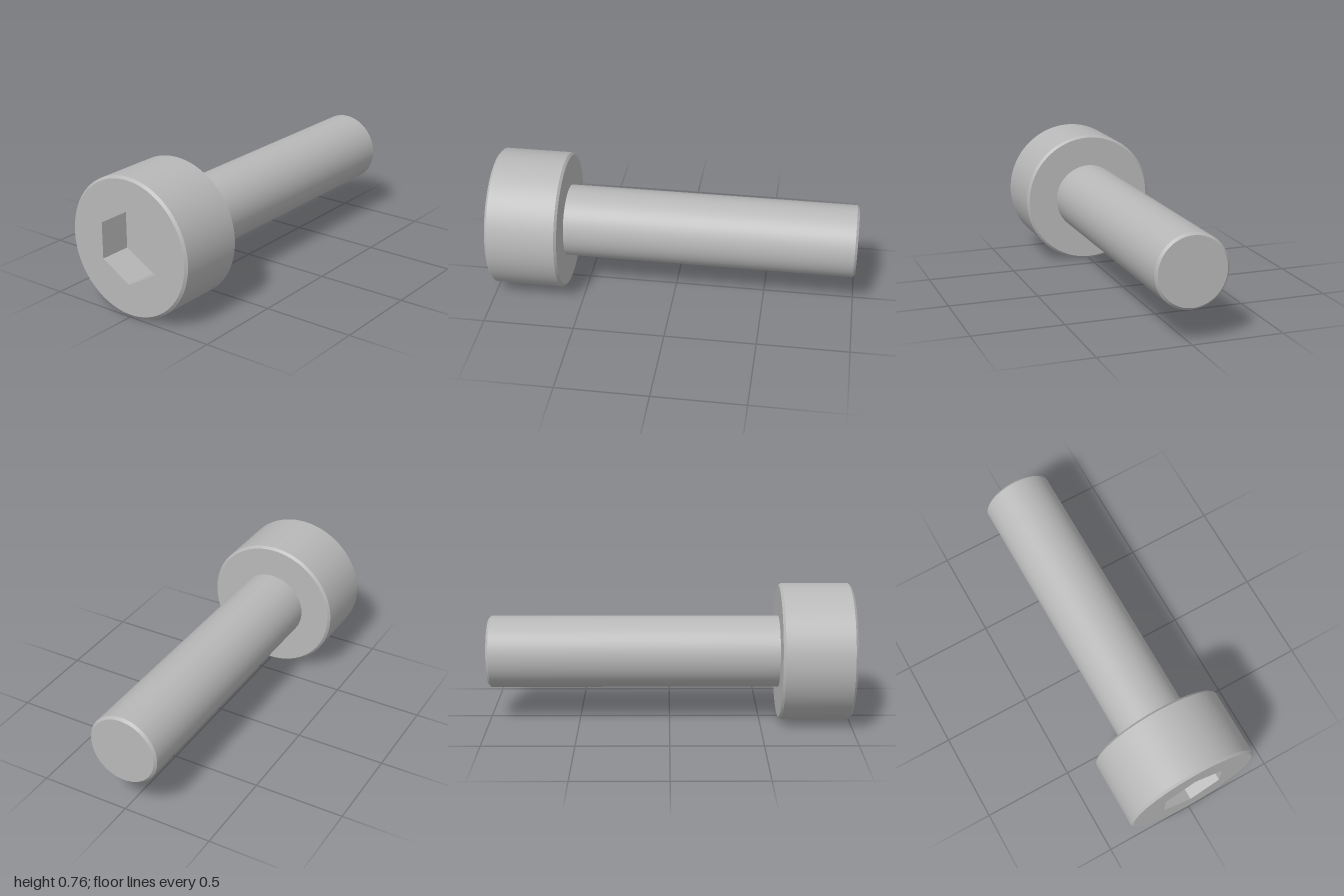
import * as THREE from 'three';
import { mergeGeometries } from 'three/addons/utils/BufferGeometryUtils.js';

const AXIS_Y = 0.38, SEGMENTS = 96;
const HEAD_R = 0.378, HEAD_BACK = 0.603, SHANK_R = 0.198, CHAMFER = 0.013;
const HEX_R = 0.199, HEX_DEPTH = 0.18;

// Revolve each profile segment on its own so the edges stay crisp, then lay the axis along z.
function turned(profile) {
  const bands = [];
  for (let i = 0; i < profile.length - 1; i++) {
    const pts = [profile[i], profile[i + 1]].map(([r, z]) => new THREE.Vector2(r, z));
    bands.push(new THREE.LatheGeometry(pts, SEGMENTS));
  }
  const geometry = mergeGeometries(bands).rotateX(Math.PI / 2);
  geometry.normalizeNormals();
  return geometry;
}

export function createModel() {
  const model = new THREE.Group();
  model.name = 'socketHeadScrew';
  const steel = new THREE.MeshStandardMaterial({ color: 0xb8b8b8 });
  steel.name = 'grey steel';

  const add = (name, geometry, parent = model) => {
    const mesh = new THREE.Mesh(geometry, steel);
    mesh.name = name;
    parent.add(mesh);
    return mesh;
  };

  const screw = new THREE.Group();
  screw.name = 'screw';
  screw.position.y = AXIS_Y;
  model.add(screw);

  // Shank with a chamfered tip
  add('shank', turned([
    [0, -1], [SHANK_R - CHAMFER, -1], [SHANK_R, -1 + CHAMFER], [SHANK_R, HEAD_BACK],
  ]), screw);

  // Head: back shoulder, two chamfers and side wall
  add('head', turned([
    [SHANK_R, HEAD_BACK], [HEAD_R - CHAMFER, HEAD_BACK], [HEAD_R, HEAD_BACK + CHAMFER],
    [HEAD_R, 1 - CHAMFER], [HEAD_R - CHAMFER, 1],
  ]), screw);

  // Front face with a hexagonal opening
  const face = new THREE.Shape().absarc(0, 0, HEAD_R - CHAMFER, 0, Math.PI * 2);
  const corners = [];
  for (let i = 0; i < 6; i++) {
    const a = Math.PI / 2 - i * Math.PI / 3;
    corners.push(new THREE.Vector2(HEX_R * Math.cos(a), HEX_R * Math.sin(a)));
  }
  face.holes.push(new THREE.Path(corners));
  add('headFace', new THREE.ShapeGeometry(face, SEGMENTS / 2).translate(0, 0, 1), screw);

  // Hex socket: six walls facing the axis, and a floor
  const socket = new THREE.Group();
  socket.name = 'hexSocket';
  screw.add(socket);
  for (let i = 0; i < 6; i++) {
    const wall = new THREE.PlaneGeometry(HEX_R, HEX_DEPTH)
      .rotateX(Math.PI / 2)
      .translate(0, HEX_R * Math.cos(Math.PI / 6), 1 - HEX_DEPTH / 2)
      .rotateZ(Math.PI / 6 + i * Math.PI / 3);
    add('socketWall', wall, socket);
  }
  add('socketFloor',
    new THREE.CircleGeometry(HEX_R, 6, Math.PI / 2).translate(0, 0, 1 - HEX_DEPTH), socket);

  return model;
}
